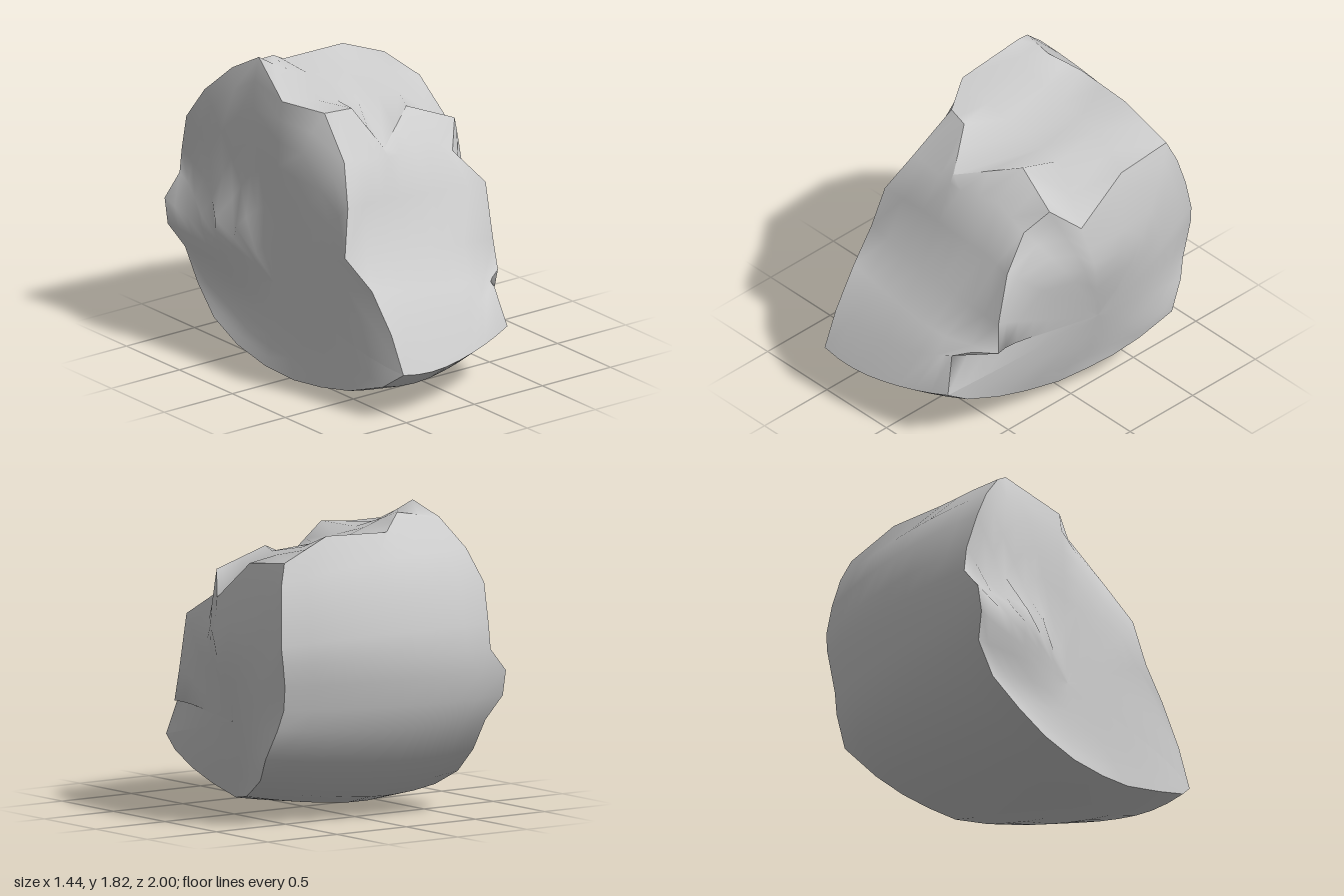
import * as THREE from 'three';

const { lerp, clamp } = THREE.MathUtils;
const COLUMNS = 9;

// Outer curved skin, front-bottom to upper back:
// [left x, left z, left y, right x, right z, right y]
const SKIN = [
  [-0.52, 1.0, 0.27, 0.36, 0.85, 0.37],
  [-0.58, 0.88, 0.17, 0.39, 0.72, 0.29],
  [-0.63, 0.63, 0.08, 0.42, 0.5, 0.21],
  [-0.63, 0.36, 0.02, 0.43, 0.3, 0.15],
  [-0.65, 0.13, 0.0, 0.45, 0.05, 0.1],
  [-0.66, -0.12, 0.015, 0.5, -0.12, 0.13],
  [-0.67, -0.38, 0.08, 0.57, -0.27, 0.19],
  [-0.67, -0.6, 0.19, 0.63, -0.43, 0.27],
  [-0.64, -0.79, 0.35, 0.72, -0.6, 0.42],
  [-0.64, -0.91, 0.55, 0.7, -0.69, 0.6],
  [-0.72, -0.97, 0.7, 0.68, -0.725, 0.72],
  [-0.72, -1.0, 0.86, 0.69, -0.75, 0.86],
  [-0.61, -1.0, 1.0, 0.71, -0.76, 0.99],
  [-0.61, -0.98, 1.15, 0.72, -0.755, 1.1],
  [-0.63, -0.91, 1.38, 0.7, -0.73, 1.28],
  [-0.59, -0.79, 1.57, 0.67, -0.69, 1.45],
];

// Broken top and front, from the back edge down; each row runs left to right
const BREAK = [
  [[-0.52, 1.74, -0.62], [-0.27, 1.78, -0.55], [-0.11, 1.69, -0.66], [0.3, 1.7, -0.63], [0.62, 1.57, -0.65]],
  [[-0.44, 1.83, -0.47], [-0.28, 1.73, -0.4], [0, 1.64, -0.4], [0.3, 1.61, -0.4], [0.61, 1.53, -0.3]],
  [[-0.54, 1.68, -0.12], [-0.3, 1.64, -0.1], [0, 1.57, -0.1], [0.3, 1.55, -0.1], [0.61, 1.29, 0.02]],
  [[-0.4, 1.64, 0.1], [-0.24, 1.65, 0.15], [-0.14, 1.43, 0.33], [0.2, 1.55, 0.1], [0.5, 1.43, 0.17]],
  [[-0.45, 1.42, 0.35], [-0.22, 1.4, 0.36], [-0.05, 1.38, 0.36], [0.2, 1.4, 0.3], [0.4, 1.28, 0.28]],
  [[-0.54, 1.2, 0.5], [-0.26, 1.18, 0.47], [0, 1.15, 0.46], [0.25, 1.13, 0.45], [0.48, 1.13, 0.49]],
  [[-0.6, 0.92, 0.55], [-0.3, 0.89, 0.57], [0, 0.85, 0.58], [0.25, 0.82, 0.57], [0.48, 0.8, 0.56]],
  [[-0.55, 0.76, 0.74], [-0.3, 0.71, 0.74], [0, 0.66, 0.74], [0.2, 0.64, 0.72], [0.5, 0.61, 0.58]],
  [[-0.53, 0.53, 0.9], [-0.3, 0.5, 0.88], [0, 0.5, 0.85], [0.2, 0.55, 0.8], [0.32, 0.6, 0.78]],
];

// Bend one skin row across the width: lowest left of centre, receding to the right
function skinRow([xl, zl, yl, xr, zr, yr]) {
  return Array.from({ length: COLUMNS }, (_, j) => {
    const u = j / (COLUMNS - 1);
    const t = u ** 2.1;
    const lift = 0.055 * Math.max(0, 1 - u / 0.4) ** 2 * Math.max(0, 1 - yl);
    return [lerp(xl, xr, u), lerp(yl, yr, t) + lift, lerp(zl, zr, t)];
  });
}

// Add a midpoint between neighbours so break rows match the skin columns
const refine = (row) => row.flatMap((p, j) => (j === 0 ? [p]
  : [p.map((v, k) => (v + row[j - 1][k]) / 2), p]));

// Smooth surface through a grid of points
function surface(name, rows, flip, material) {
  const n = rows[0].length;
  const index = [];
  for (let i = 0; i < rows.length - 1; i++) {
    for (let j = 0; j < n - 1; j++) {
      const a = i * n + j, b = a + n, c = a + 1, d = b + 1;
      index.push(...(flip ? [a, c, b, c, d, b] : [a, b, c, c, b, d]));
    }
  }
  const geometry = new THREE.BufferGeometry();
  geometry.setAttribute('position', new THREE.Float32BufferAttribute(rows.flat(2), 3));
  geometry.setIndex(index);
  geometry.computeVertexNormals();
  const mesh = new THREE.Mesh(geometry, material);
  mesh.name = name;
  return mesh;
}

// Rough end wall: shrink the rim toward the middle, easing onto the wall's own relief
function endRings(rim, reliefX) {
  const cy = 0.58, cz = -0.12;
  return [1, 0.9, 0.78, 0.64, 0.5, 0.34, 0.17, 0.001].map((s) => rim.map(([x, y, z]) => {
    const py = lerp(cy, y, s), pz = lerp(cz, z, s);
    return [lerp(reliefX(py, pz), x, s ** 5), py, pz];
  }));
}

// Nearly flat wall with a ledge at mid height toward the back
function rightRelief(y, z) {
  const ledge = y > 0.86 ? clamp((1 - y) / 0.14, 0, 1) : clamp((y - 0.4) / 0.46, 0, 1);
  return -0.58 - 0.05 * Math.max(0, 1 - y) - 0.12 * ledge * clamp((-z - 0.1) / 0.4, 0, 1);
}

// Wall with an upright ridge: slopes in toward the front and the base
function leftRelief(y, z) {
  const ridge = 0.71 - 0.24 * Math.max(0, 1 - y) - 0.1 * Math.max(0, y - 1.1);
  return z > -0.15 ? ridge - 0.32 * (z + 0.15) * clamp(y + 0.1, 0.2, 1)
    : lerp(ridge, 0.7, clamp((-0.15 - z) / 0.5, 0, 1));
}

export function createModel() {
  const group = new THREE.Group();
  group.name = 'rockFragment';
  const material = new THREE.MeshStandardMaterial({ color: 0xcccccc, side: THREE.DoubleSide });

  const skin = SKIN.map(skinRow);
  const broken = BREAK.map(refine);
  const loop = [...skin, ...broken, skin[0]];
  const rim = (column) => loop.map((row) => row[column]);

  group.add(
    surface('curvedSkin', [...skin, broken[0]], false, material),
    // The top and the front slope meet along a ragged edge
    surface('brokenTop', broken.slice(0, 4), false, material),
    surface('brokenFront', [...broken.slice(3), skin[0]], false, material),
    surface('rightEndWall', endRings(rim(0), rightRelief), false, material),
    surface('leftEndWall', endRings(rim(COLUMNS - 1), leftRelief), true, material),
  );
  return group;
}
